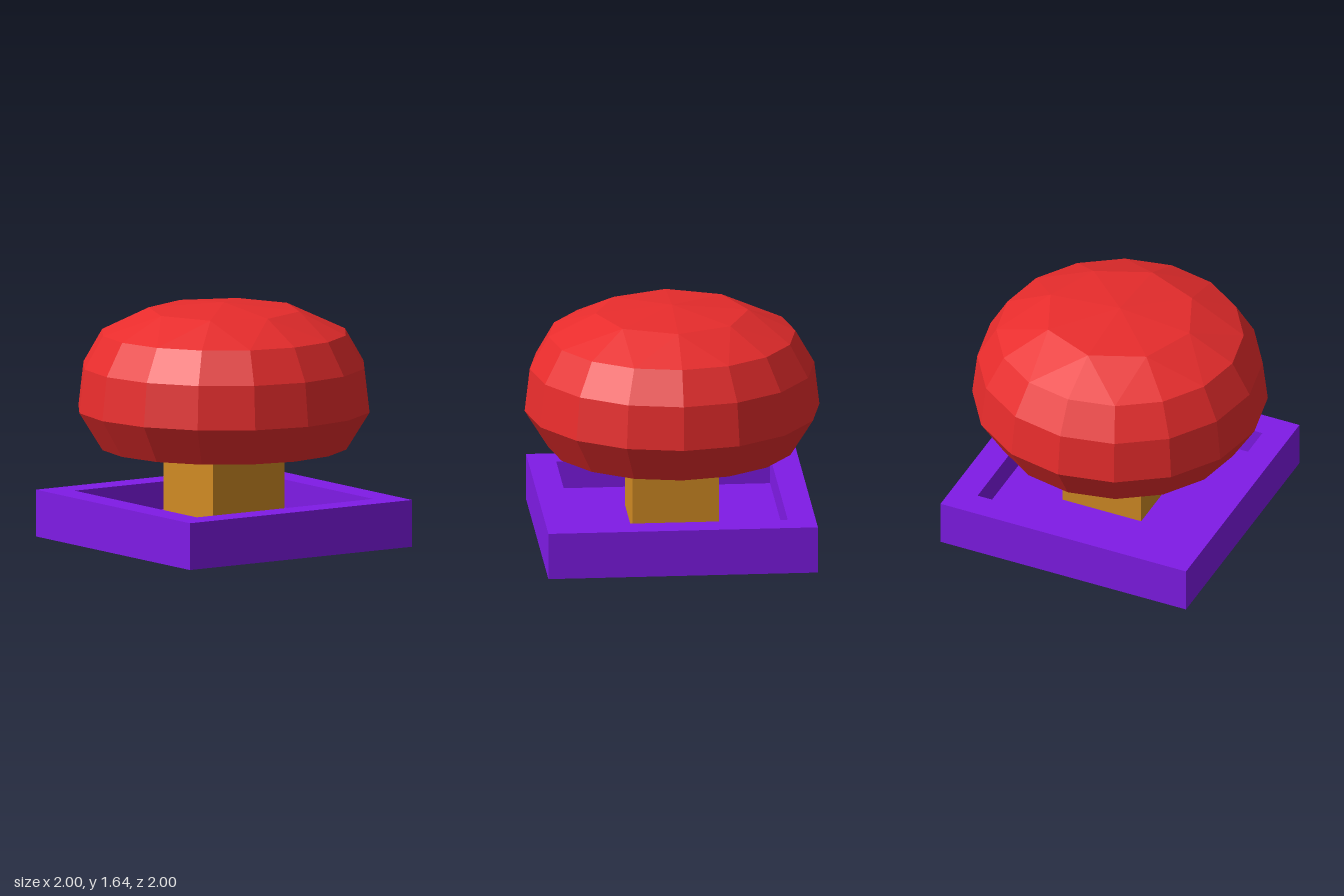
import * as THREE from 'three';

const material = (color, side = THREE.FrontSide) =>
  new THREE.MeshStandardMaterial({ color, side, flatShading: true });

const profile = (points) => points.map(([r, y]) => new THREE.Vector2(r, y));

function addMesh(parent, name, geometry, mat) {
  const mesh = new THREE.Mesh(geometry, mat);
  mesh.name = name;
  parent.add(mesh);
  return mesh;
}

// Shallow faceted top: an 8-sided fan joined to the 16-sided rim
function crownGeometry(apexY, innerR, innerY, outerR, outerY) {
  const positions = [];
  const at = (r, y, step) => {
    const a = (step * Math.PI) / 8;
    return [r * Math.sin(a), y, r * Math.cos(a)];
  };
  const inner = (step) => at(innerR, innerY, step);
  const outer = (step) => at(outerR, outerY, step);
  for (let s = 0; s < 16; s += 2) {
    positions.push(
      0, apexY, 0, ...inner(s), ...inner(s + 2),
      ...inner(s), ...outer(s), ...outer(s + 1),
      ...inner(s), ...outer(s + 1), ...inner(s + 2),
      ...inner(s + 2), ...outer(s + 1), ...outer(s + 2)
    );
  }
  const geometry = new THREE.BufferGeometry();
  geometry.setAttribute('position', new THREE.Float32BufferAttribute(positions, 3));
  geometry.computeVertexNormals();
  return geometry;
}

export function createModel() {
  const model = new THREE.Group();
  model.name = 'mushroomButton';

  // Square tray with a recessed floor, turned with four sides
  const outer = 0.914 * Math.SQRT2;
  const inner = 0.725 * Math.SQRT2;
  const tray = profile([[0, 0], [outer, 0], [outer, 0.32], [inner, 0.32], [inner, 0.13], [0, 0.13]]);
  addMesh(model, 'baseTray', new THREE.LatheGeometry(tray, 4, Math.PI / 4), material(0x7f1be6));

  // Square post standing on the tray floor
  const post = addMesh(model, 'post', new THREE.BoxGeometry(0.586, 0.67, 0.586), material(0xd08a24));
  post.position.y = 0.13 + 0.67 / 2;

  // Hollow domed cap, open below
  const cap = new THREE.Group();
  cap.name = 'cap';
  model.add(cap);
  const red = material(0xe82c2c, THREE.DoubleSide);
  const wall = profile([[0.84, 0.652], [1, 0.91], [0.965, 1.208], [0.837, 1.432]]);
  addMesh(cap, 'capWall', new THREE.LatheGeometry(wall, 16), red);
  addMesh(cap, 'capCrown', crownGeometry(1.637, 0.518, 1.588, 0.837, 1.432), red);

  return model;
}
